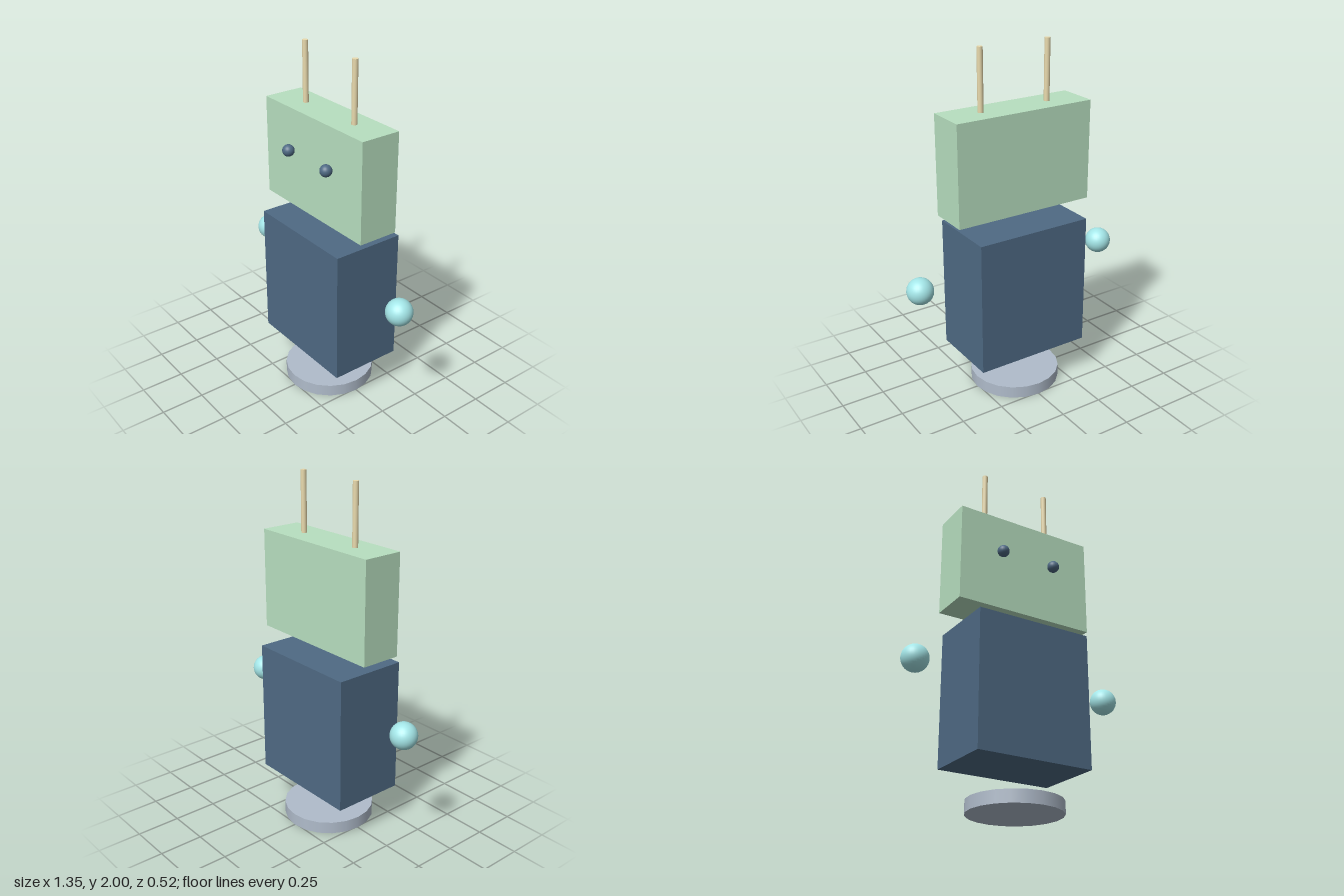
import * as THREE from 'three';

export function createModel() {
  const robot = new THREE.Group();
  robot.name = 'robot';

  const paint = (color) => new THREE.MeshStandardMaterial({ color });
  const navy = paint(0x4f6a84);
  const green = paint(0xb8e0c0);
  const aqua = paint(0xa4e6e8);
  const steel = paint(0xb0bccb);
  const cream = paint(0xeadbae);

  const add = (name, geometry, material, x, y, z) => {
    const mesh = new THREE.Mesh(geometry, material);
    mesh.name = name;
    mesh.position.set(x, y, z);
    robot.add(mesh);
  };

  // Hovering stack: round base, body, head
  add('base', new THREE.CylinderGeometry(0.26, 0.26, 0.07, 20), steel, 0, 0.035, 0);
  add('body', new THREE.BoxGeometry(0.686, 0.77, 0.42), navy, 0, 0.622, 0);
  add('head', new THREE.BoxGeometry(0.834, 0.57, 0.234), green, 0, 1.373, 0);

  // Mirrored parts: floating hands, eyes and antennae
  const hand = new THREE.SphereGeometry(0.075, 32, 20);
  const eye = new THREE.SphereGeometry(0.034, 24, 16);
  const antenna = new THREE.CylinderGeometry(0.016, 0.016, 0.342, 12);
  for (const [side, s] of [['left', 1], ['right', -1]]) {
    add(side + 'Hand', hand, aqua, s * 0.602, 0.732, 0);
    add(side + 'Eye', eye, navy, s * 0.167, 1.427, 0.15);
    add(side + 'Antenna', antenna, cream, s * 0.208, 1.829, 0);
  }

  return robot;
}
